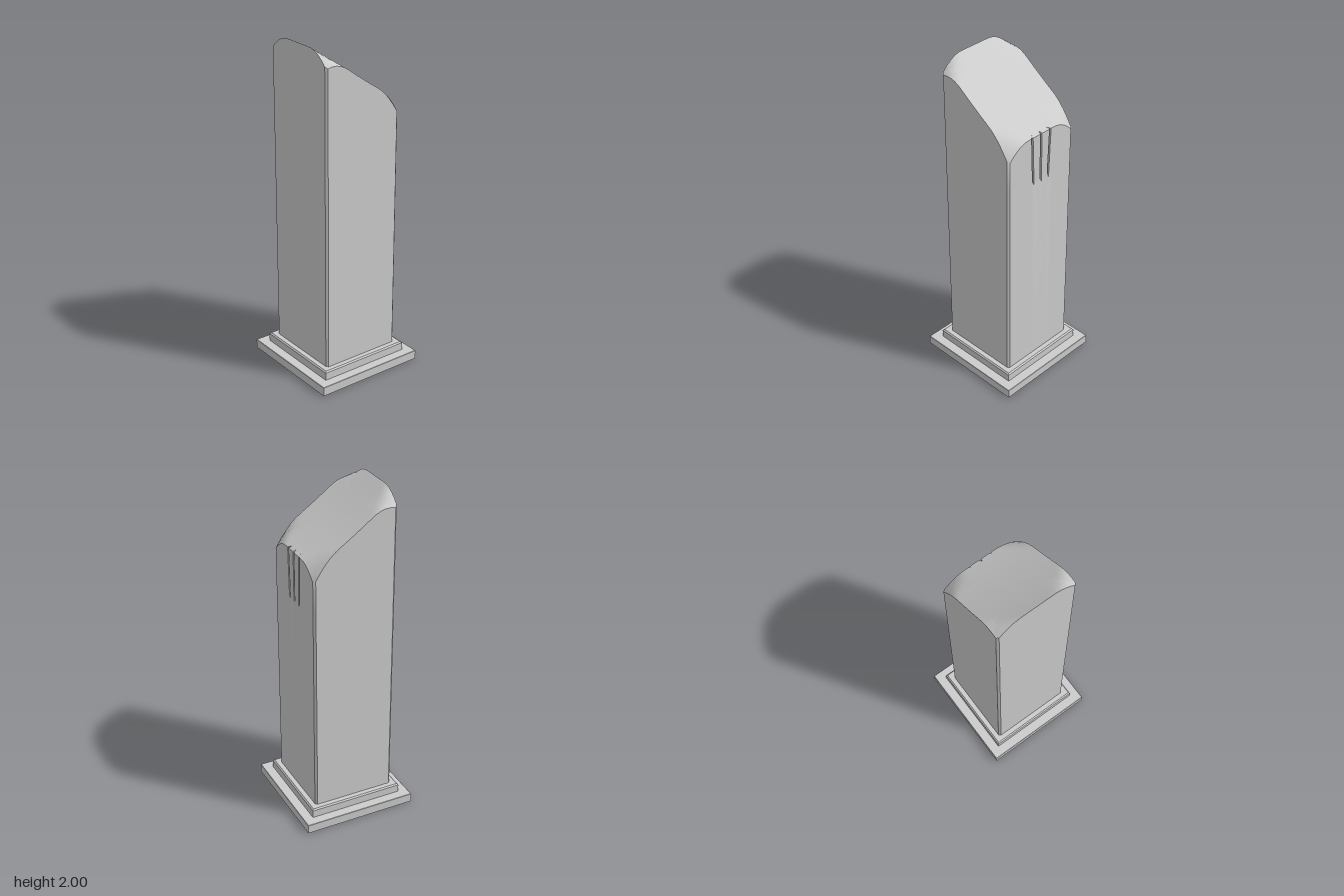
import * as THREE from 'three';
import { toCreasedNormals } from 'three/addons/utils/BufferGeometryUtils.js';

const material = new THREE.MeshStandardMaterial({ color: 0xcccccc, side: THREE.DoubleSide });
const H = 0.25; // half width of the shaft

// Slanted, slightly sagging top whose corners roll down
function topHeight(x, z) {
  const corner = Math.max(0, Math.abs(x) + Math.abs(z) - 0.35) / 0.15;
  return 1.81 - 0.7 * x + 0.24 * x * x - 0.09 * corner * corner;
}

// Square step with a small bevel around its upper edge
function step(name, half, y0, y1, bevel) {
  const profile = [[0, y0], [half, y0], [half, y1 - bevel], [half - bevel, y1], [0, y1]]
    .map(([r, y]) => new THREE.Vector2(r * Math.SQRT2, y));
  const geometry = new THREE.LatheGeometry(profile, 4, Math.PI / 4);
  const mesh = new THREE.Mesh(toCreasedNormals(geometry, 0.4), material);
  mesh.name = name;
  return mesh;
}

// Outline of the shaft: four sides with clipped corners; the +x side carries three grooves
function outline() {
  const plain = [-0.238, -0.21, -0.18, -0.15, -0.12, -0.08, -0.04, 0, 0.04, 0.08, 0.12, 0.15, 0.18, 0.21, 0.238];
  const grooved = [-0.238, -0.21, -0.18, -0.15, -0.12, -0.09];
  const points = [];
  const sides = [[1, 0], [0, -1], [-1, 0], [0, 1]];
  sides.forEach(([nx, nz], side) => {
    const add = (t, groove) => points.push({ x: nx * H + nz * t, z: nz * H - nx * t, groove });
    if (side > 0) {
      plain.forEach((t) => add(t));
      return;
    }
    grooved.forEach((t) => add(t));
    for (const centre of [-0.06, 0, 0.06]) {
      for (const offset of [-0.006, 0, 0.006]) add(centre + offset, { centre, deep: offset === 0 });
    }
    [...grooved].reverse().forEach((t) => add(-t));
  });
  return points;
}

function shaftGeometry() {
  const points = outline();
  const n = points.length;
  const positions = [];
  const index = [];
  const joinRings = (count, first) => {
    for (let r = 0; r < count - 1; r++) {
      for (let i = 0; i < n; i++) {
        const a = first + r * n + i, b = first + r * n + (i + 1) % n;
        index.push(a, b, a + n, b, b + n, a + n);
      }
    }
  };

  // Walls: grooves are cut only above y = 1.36 and lean towards the middle
  const levels = [0.1, 1.34, 1.38, null];
  levels.forEach((level, r) => {
    for (const p of points) {
      const y = level ?? topHeight(p.x, p.z);
      const depth = p.groove?.deep && r > 1 ? 0.012 : 0;
      const lean = p.groove ? -Math.sign(p.groove.centre) * 0.04 * (y - 1.4) * (y > 1.3 ? 1 : 0.4) : 0;
      positions.push(p.x - depth, y, p.z + lean);
    }
  });
  joinRings(levels.length, 0);

  // Top: rings shrinking from the rim to the middle
  const first = positions.length / 3;
  const scales = [1, 0.94, 0.88, 0.8, 0.7, 0.5, 0.25, 0];
  scales.forEach((s, r) => {
    points.forEach((p, i) => {
      if (r === 0) {
        const rim = 3 * ((levels.length - 1) * n + i);
        positions.push(positions[rim], positions[rim + 1], positions[rim + 2]);
      } else {
        positions.push(p.x * s, topHeight(p.x * s, p.z * s), p.z * s);
      }
    });
  });
  joinRings(scales.length, first);

  const geometry = new THREE.BufferGeometry();
  geometry.setAttribute('position', new THREE.Float32BufferAttribute(positions, 3));
  geometry.setIndex(index);
  return toCreasedNormals(geometry, 0.6);
}

export function createModel() {
  const model = new THREE.Group();
  model.name = 'pedestal';
  model.add(step('lowerStep', 0.345, 0, 0.055, 0.002));
  model.add(step('upperStep', 0.287, 0.055, 0.11, 0.008));
  const shaft = new THREE.Mesh(shaftGeometry(), material);
  shaft.name = 'slantedShaft';
  model.add(shaft);
  return model;
}
